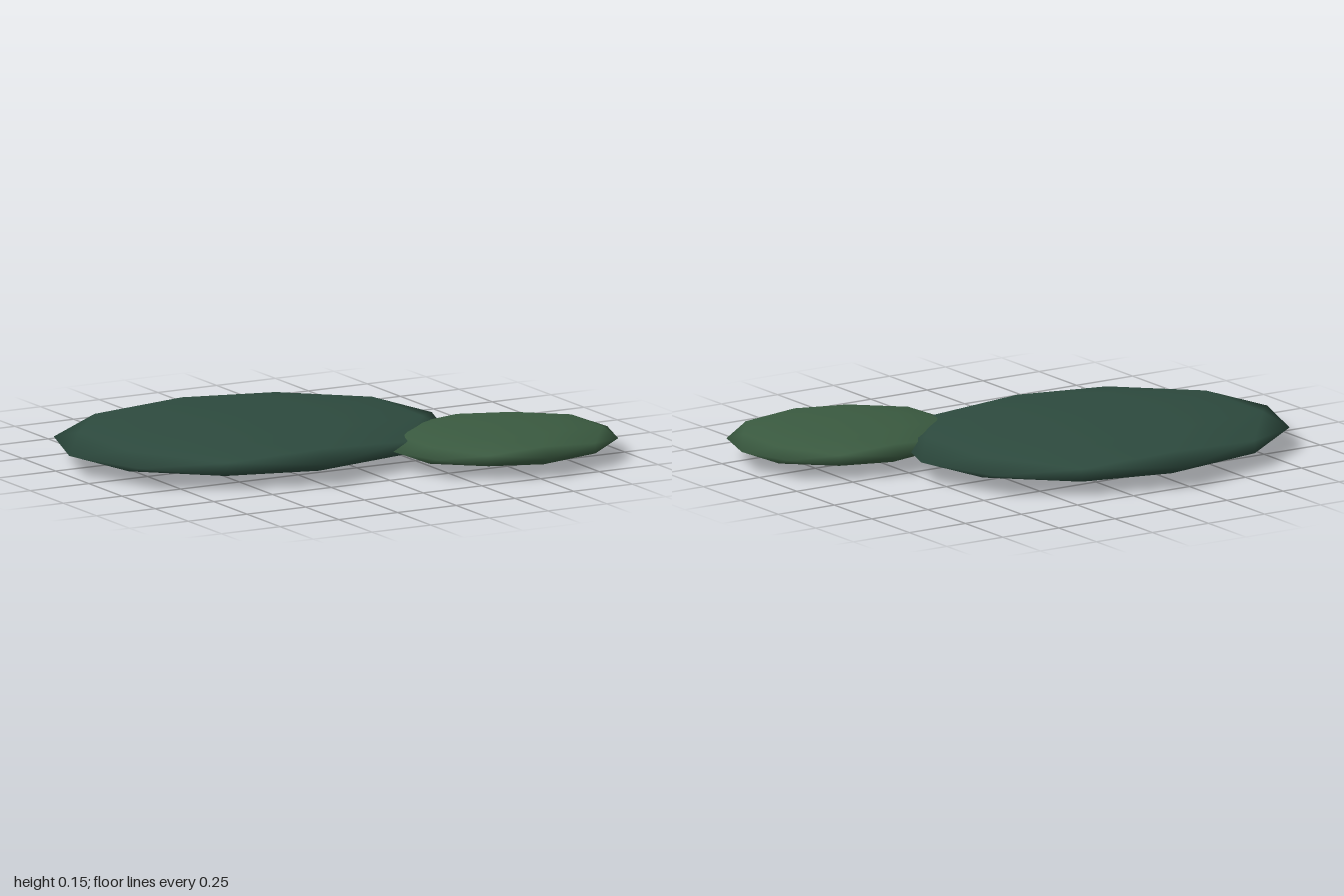
import * as THREE from 'three';

// Flattened, smooth-shaded low-poly pad
function makePad(name, color, position, radii) {
  const mesh = new THREE.Mesh(
    new THREE.IcosahedronGeometry(1, 1),
    new THREE.MeshStandardMaterial({ color })
  );
  mesh.name = name;
  mesh.position.set(...position);
  mesh.scale.set(...radii);
  return mesh;
}

export function createModel() {
  const group = new THREE.Group();
  group.name = 'foliagePads';
  group.add(
    makePad('largePad', 0x2d4a3e, [-0.228, 0.077, -0.148], [0.772, 0.077, 0.61]),
    makePad('smallPad', 0x3a5a40, [0.545, 0.073, 0.368], [0.455, 0.063, 0.386])
  );
  return group;
}
